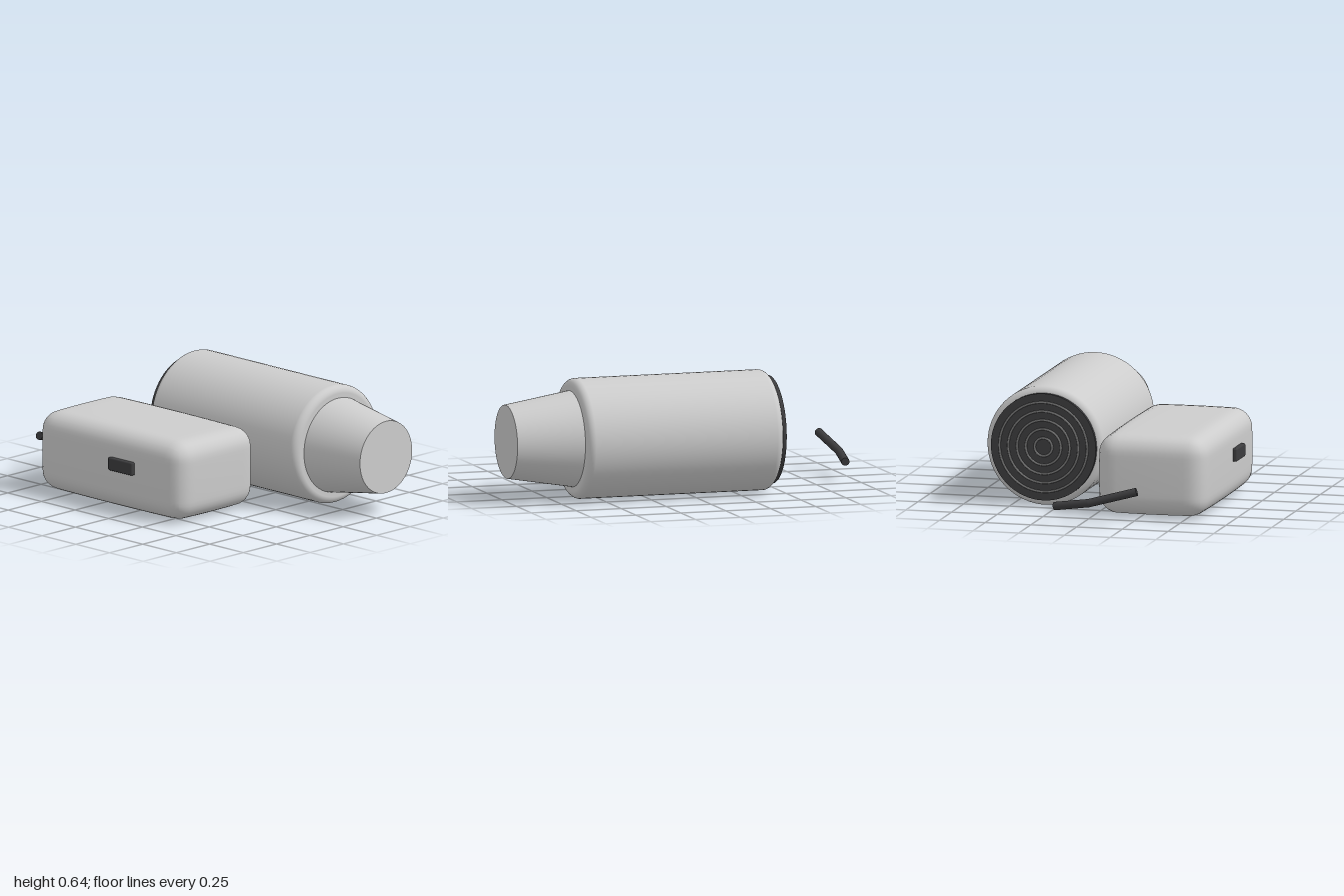
import * as THREE from 'three';
import { mergeVertices } from 'three/addons/utils/BufferGeometryUtils.js';
import { RoundedBoxGeometry } from 'three/addons/geometries/RoundedBoxGeometry.js';

function material(name, color) {
  const m = new THREE.MeshStandardMaterial({ color });
  m.name = name;
  return m;
}

// Soft box: rounded edges plus a slight pillow bulge on every face
function softBox(w, h, d, radius, bulge) {
  let geo = new THREE.BoxGeometry(2, 2, 2, 24, 24, 24);
  geo.deleteAttribute('uv');
  geo.deleteAttribute('normal');
  geo = mergeVertices(geo);
  const half = new THREE.Vector3(w / 2, h / 2, d / 2);
  const inner = half.clone().subScalar(radius);
  const pos = geo.attributes.position;
  const p = new THREE.Vector3(), core = new THREE.Vector3();
  const spread = (u) => Math.sin(u * Math.PI / 2); // more vertices near the edges
  for (let i = 0; i < pos.count; i++) {
    p.fromBufferAttribute(pos, i);
    p.set(spread(p.x), spread(p.y), spread(p.z)).multiply(half);
    core.copy(p).clamp(inner.clone().negate(), inner);
    p.sub(core);
    if (p.lengthSq() > 0) p.setLength(radius);
    p.add(core);
    const x2 = (p.x / half.x) ** 2, y2 = (p.y / half.y) ** 2, z2 = (p.z / half.z) ** 2;
    pos.setXYZ(i,
      p.x * (1 - bulge * 0.5 * (y2 + z2)),
      p.y * (1 - bulge * (x2 + z2)),
      p.z * (1 - bulge * (x2 + y2)));
  }
  geo.computeVertexNormals();
  return geo;
}

export function createModel() {
  const group = new THREE.Group();
  const light = material('light grey', 0xcccccc);
  const dark = material('dark grey', 0x3c3c3e);
  const mid = material('ring grey', 0x777777);

  function add(parent, name, geometry, mat, x = 0, y = 0, z = 0) {
    const mesh = new THREE.Mesh(geometry, mat);
    mesh.name = name;
    mesh.position.set(x, y, z);
    parent.add(mesh);
    return mesh;
  }

  // Canister, built along y and then laid along x
  const canister = new THREE.Group();
  canister.name = 'canister';
  canister.position.set(0, 0.323, -0.323);
  canister.rotation.z = -Math.PI / 2;
  group.add(canister);

  const R = 0.32, f = 0.04, y0 = -0.447, y1 = 0.642;
  const profile = [new THREE.Vector2(0, y0)];
  const fillet = (cy, start) => {
    for (let i = 0; i <= 8; i++) {
      const a = start + (i / 8) * Math.PI / 2;
      profile.push(new THREE.Vector2(R - f + f * Math.cos(a), cy + f * Math.sin(a)));
    }
  };
  fillet(y0 + f, -Math.PI / 2);
  fillet(y1 - f, 0);
  profile.push(new THREE.Vector2(0, y1));
  add(canister, 'canisterBody', new THREE.LatheGeometry(profile, 64), light);
  add(canister, 'taperedNozzle', new THREE.CylinderGeometry(0.196, 0.257, 0.37, 64), light, 0, 0.815, 0);
  add(canister, 'endDisc', new THREE.CylinderGeometry(0.287, 0.287, 0.022, 64), dark, 0, -0.456, 0);

  // Concentric grille rings on the end disc
  for (let i = 1; i <= 5; i++) {
    const ring = add(canister, 'grilleRing', new THREE.TorusGeometry(0.048 * i, 0.006, 8, 64), mid, 0, -0.467, 0);
    ring.rotation.x = Math.PI / 2;
  }

  // Soft case with a small latch
  add(group, 'case', softBox(1.08, 0.436, 0.608, 0.1, 0.018), light, -0.148, 0.227, 0.316);
  add(group, 'latch', new RoundedBoxGeometry(0.178, 0.07, 0.03, 3, 0.008), dark, -0.026, 0.261, 0.627);

  // Bent rod with flat ends
  const elbow = new THREE.Vector3(-0.977, 0.13, 0.06);
  const ends = [new THREE.Vector3(-0.949, 0.1, -0.135), new THREE.Vector3(-0.947, 0.197, 0.315)];
  const up = new THREE.Vector3(0, 1, 0);
  const r = 0.022;
  for (const end of ends) {
    const dir = end.clone().sub(elbow);
    const c = elbow.clone().add(end).multiplyScalar(0.5);
    const arm = add(group, 'rodArm', new THREE.CylinderGeometry(r, r, dir.length(), 16), dark, c.x, c.y, c.z);
    arm.quaternion.setFromUnitVectors(up, dir.normalize());
  }
  add(group, 'rodElbow', new THREE.SphereGeometry(r, 16, 12), dark, elbow.x, elbow.y, elbow.z);

  return group;
}
